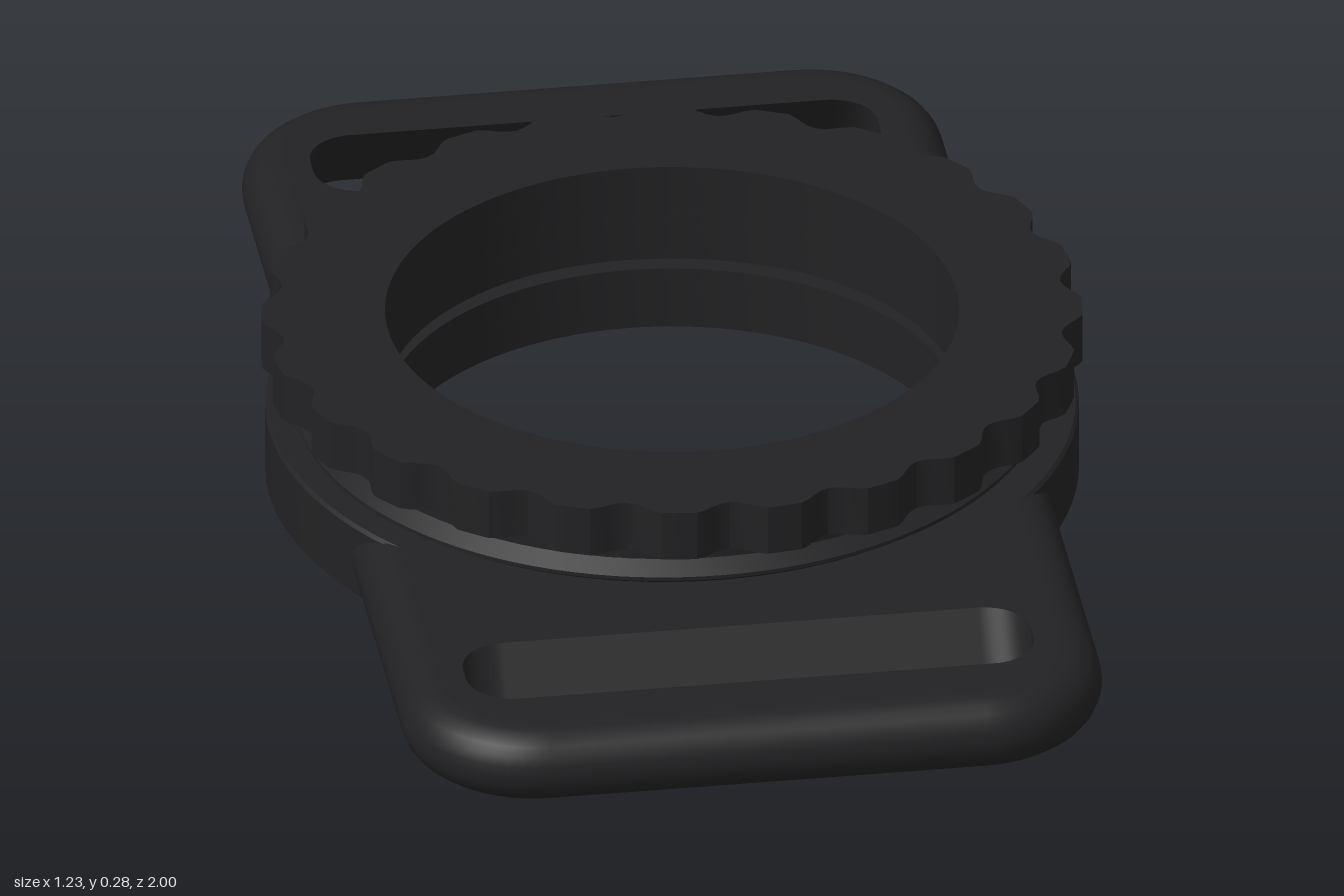
import * as THREE from 'three';
import { toCreasedNormals } from 'three/addons/utils/BufferGeometryUtils.js';

const TOP = 0.12;   // plate thickness
const BORE = 0.43;  // radius of the central opening

// Rounded rectangle as [x, z] pairs
function roundRect(hw, hh, r, cz = 0, n = 14) {
  const pts = [];
  [[1, 1], [-1, 1], [-1, -1], [1, -1]].forEach(([sx, sz], q) => {
    for (let i = 0; i <= n; i++) {
      const a = (q + i / n) * Math.PI / 2;
      pts.push([sx * (hw - r) + r * Math.cos(a), cz + sz * (hh - r) + r * Math.sin(a)]);
    }
  });
  return pts;
}

// Skin over loops of equal point count; closed loops wrap around
function loft(loops, { inward = false, closed = true } = {}) {
  const n = loops[0].length, pos = loops.flat(2), idx = [];
  for (let k = 0; k < loops.length - 1; k++) {
    for (let i = 0; i < (closed ? n : n - 1); i++) {
      const j = (i + 1) % n;
      const a = k * n + i, b = k * n + j, c = a + n, d = b + n;
      if (inward) idx.push(a, b, c, b, d, c);
      else idx.push(a, c, b, b, c, d);
    }
  }
  const g = new THREE.BufferGeometry();
  g.setAttribute('position', new THREE.Float32BufferAttribute(pos, 3));
  g.setIndex(idx);
  g.computeVertexNormals();
  return g;
}

const atHeight = (pts, y) => pts.map(([x, z]) => [x, y, z]);
const toPath = (pts, Type) => new Type(pts.map(([x, z]) => new THREE.Vector2(x, z)));

function lathe(profile) {
  const pts = [...profile, profile[0]].map(([r, y]) => new THREE.Vector2(r, y));
  return toCreasedNormals(new THREE.LatheGeometry(pts, 96), 0.6);
}

export function createModel() {
  const model = new THREE.Group();
  model.name = 'strapMount';
  const mat = new THREE.MeshStandardMaterial({ color: 0x222224 });
  const thin = new THREE.MeshStandardMaterial({ color: 0x222224, side: THREE.DoubleSide });
  const add = (name, geo, parent = model, material = mat) => {
    const mesh = new THREE.Mesh(geo, material);
    mesh.name = name;
    parent.add(mesh);
  };

  // Strap plate: fully rounded rim, flat faces, two slanted slots
  const plate = new THREE.Group();
  plate.name = 'strapPlate';
  model.add(plate);
  const R = TOP / 2;
  const rim = [];
  for (let i = 0; i <= 12; i++) {
    const a = -Math.PI / 2 + i / 12 * Math.PI;
    const inset = R * (1 - Math.cos(a));
    rim.push(atHeight(roundRect(0.53 - inset, 1 - inset, 0.2 - inset), R + R * Math.sin(a)));
  }
  add('plateRim', loft(rim), plate);

  const slot = (z) => roundRect(0.43, 0.085, 0.07, z);
  const slotTop = 0.775, slotBottom = 0.85;
  const face = (slotZ) => {
    const shape = toPath(roundRect(0.53 - R, 1 - R, 0.2 - R), THREE.Shape);
    shape.holes.push(new THREE.Path().absarc(0, 0, 0.465, 0, Math.PI * 2, true));
    for (const s of [1, -1]) shape.holes.push(toPath(slot(s * slotZ), THREE.Path));
    return new THREE.ShapeGeometry(shape, 48);
  };
  add('plateTop', face(slotTop).rotateX(-Math.PI / 2).translate(0, TOP, 0), plate);
  add('plateBottom', face(slotBottom).rotateX(Math.PI / 2), plate);
  for (const s of [1, -1]) {
    add(s > 0 ? 'frontSlotWall' : 'backSlotWall',
      loft([atHeight(slot(s * slotBottom), 0), atHeight(slot(s * slotTop), TOP)], { inward: true }), plate);
  }

  // Round hub in the middle of the plate, with a narrow groove inside
  add('hub', lathe([[BORE, 0], [0.605, 0], [0.61, 0.005], [0.61, TOP - 0.005], [0.605, TOP],
    [0.46, TOP], [0.46, 0.1], [BORE, 0.1]]));

  // Neck of the screw ring
  add('neck', lathe([[BORE, TOP], [0.54, TOP], [0.54, 0.197], [BORE, 0.197]]));

  // V-shaped thread winding up the neck, tapering out at its ends
  const sections = [], start = -0.9, end = Math.PI * 2 + 1.4, steps = 150;
  for (let i = 0; i <= steps; i++) {
    const t = i / steps, a = start + (end - start) * t;
    const y = 0.121 + 0.05 * a / (Math.PI * 2);
    const k = Math.min(1, t * 10, (1 - t) * 7);
    sections.push([[-0.022, 0.538], [-0.003, 0.538 + 0.027 * k], [0.003, 0.538 + 0.027 * k], [0.022, 0.538]]
      .map(([dy, r]) => [-r * Math.cos(a), y + dy * Math.max(k, 0.05), r * Math.sin(a)]));
  }
  add('thread', toCreasedNormals(loft(sections, { closed: false, inward: true }), 0.5), model, thin);

  // Grip ring with 24 shallow scallops
  const grip = [];
  const count = 24, per = 12;
  for (let i = 0; i < count * per; i++) {
    const a = i / (count * per) * Math.PI * 2;
    const dip = Math.max(0, Math.cos(count * a) + 0.35) / 1.35;
    const r = 0.615 - 0.027 * dip;
    grip.push([r * Math.cos(a), r * Math.sin(a)]);
  }
  const ring = toPath(grip, THREE.Shape);
  ring.holes.push(new THREE.Path().absarc(0, 0, BORE, 0, Math.PI * 2, true));
  const ringGeo = new THREE.ExtrudeGeometry(ring, { depth: 0.08, bevelEnabled: false, curveSegments: 96 });
  add('gripRing', toCreasedNormals(ringGeo.rotateX(-Math.PI / 2).translate(0, 0.195, 0), 0.35));

  return model;
}
